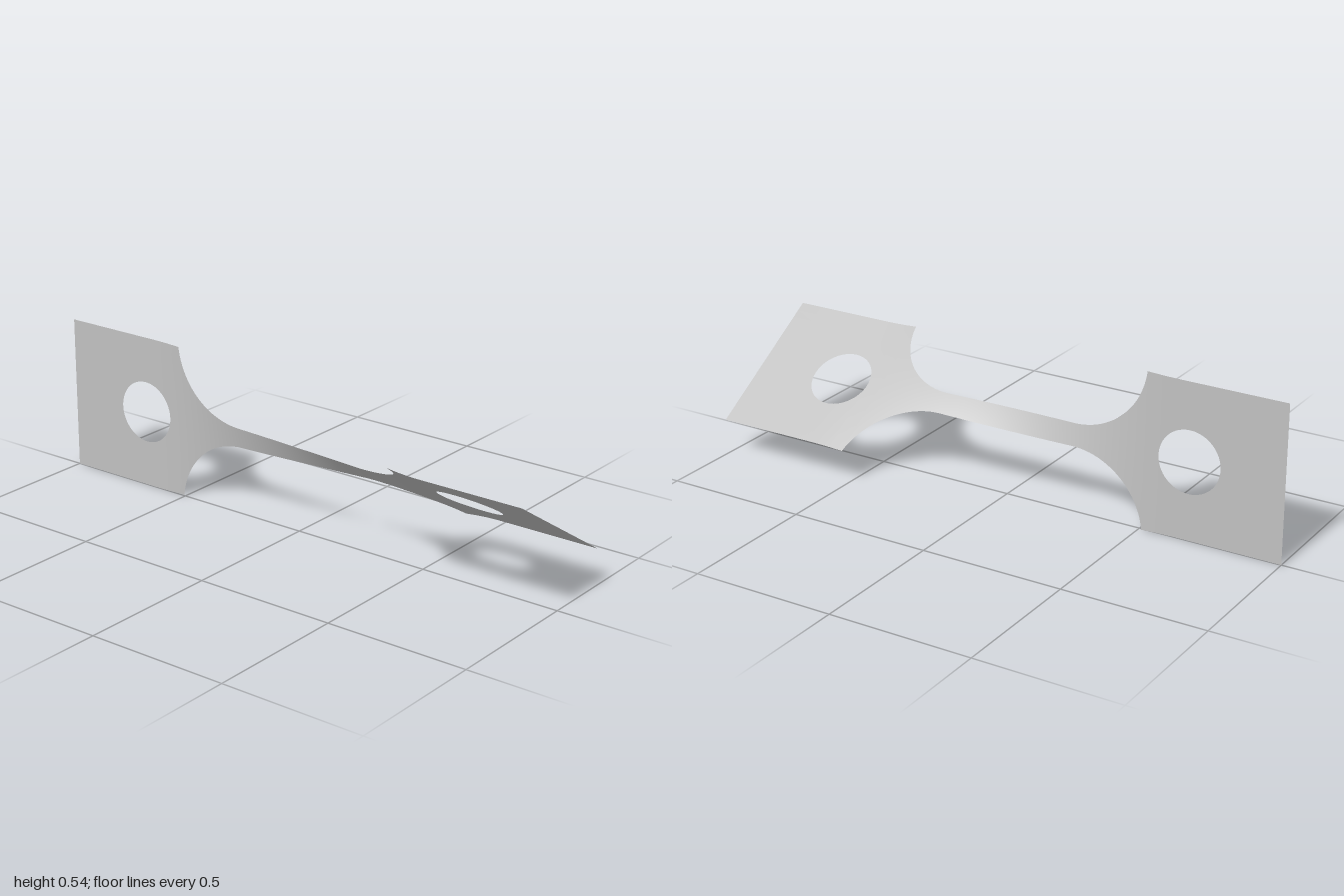
import * as THREE from 'three';
import { mergeVertices } from 'three/addons/utils/BufferGeometryUtils.js';

const HALF = 0.271;                                // half width of the end tabs
const TAB = 0.51;                                  // tab inner edge
const HOLE = { x: 0.67, r: 0.109 };                // hole in each tab
const FILLET = { x: 0.25, y: 0.3, r: 0.262 };      // scooped shoulder arc
const TWIST = THREE.MathUtils.degToRad(58);

// Outer half width of the strap at x
function outer(x) {
  const a = Math.abs(x);
  if (a >= TAB) return HALF;
  const dx = Math.max(0, a - FILLET.x);
  return Math.min(HALF, FILLET.y - Math.sqrt(Math.max(0, FILLET.r ** 2 - dx * dx)));
}

// Half height of the hole at x (zero where there is none)
function inner(x) {
  const dx = Math.abs(x) - HOLE.x;
  return Math.sqrt(Math.max(0, HOLE.r ** 2 - dx * dx));
}

// Column positions, packed closely along the curves and mirrored about x = 0
function columns() {
  const half = [];
  for (let i = 1; i <= 10; i++) half.push(FILLET.x * i / 10);
  for (let i = 1; i < 24; i++) half.push(FILLET.x + (TAB - FILLET.x) * Math.sin(i / 24 * Math.PI / 2));
  half.push(TAB, 0.535);
  for (let i = 0; i <= 32; i++) half.push(HOLE.x - HOLE.r * Math.cos(i / 32 * Math.PI));
  half.push(0.85, 0.92, 1);
  return [...half.map(x => -x).reverse(), 0, ...half];
}

// Smooth twist about the long axis
function twisted(x, v) {
  const angle = TWIST * THREE.MathUtils.smoothstep(x, -0.64, 0.64);
  return [x, HALF + v * Math.cos(angle), v * Math.sin(angle)];
}

function strapGeometry() {
  const xs = columns(), rows = 8;
  const pos = [], index = [];
  // Lower and upper bands meet on the axis and part around the holes
  for (const side of [-1, 1]) {
    const base = pos.length / 3;
    xs.forEach((x, i) => {
      for (let j = 0; j <= rows; j++) {
        const t = side < 0 ? 1 - j / rows : j / rows;
        pos.push(...twisted(x, side * THREE.MathUtils.lerp(inner(x), outer(x), t)));
        if (i && j) {
          const d = base + i * (rows + 1) + j, c = d - 1;
          const b = d - rows - 1, a = b - 1;
          index.push(a, c, d, a, d, b);
        }
      }
    });
  }
  const raw = new THREE.BufferGeometry();
  raw.setAttribute('position', new THREE.Float32BufferAttribute(pos, 3));
  raw.setIndex(index);
  const geometry = mergeVertices(raw, 1e-5);
  geometry.computeVertexNormals();
  return geometry;
}

export function createModel() {
  const metal = new THREE.MeshStandardMaterial({ color: 0xc0c0c0, side: THREE.DoubleSide });
  metal.name = 'light grey metal';

  const group = new THREE.Group();
  group.name = 'twistedLink';
  const strap = new THREE.Mesh(strapGeometry(), metal);
  strap.name = 'twistedStrap';
  group.add(strap);
  return group;
}
